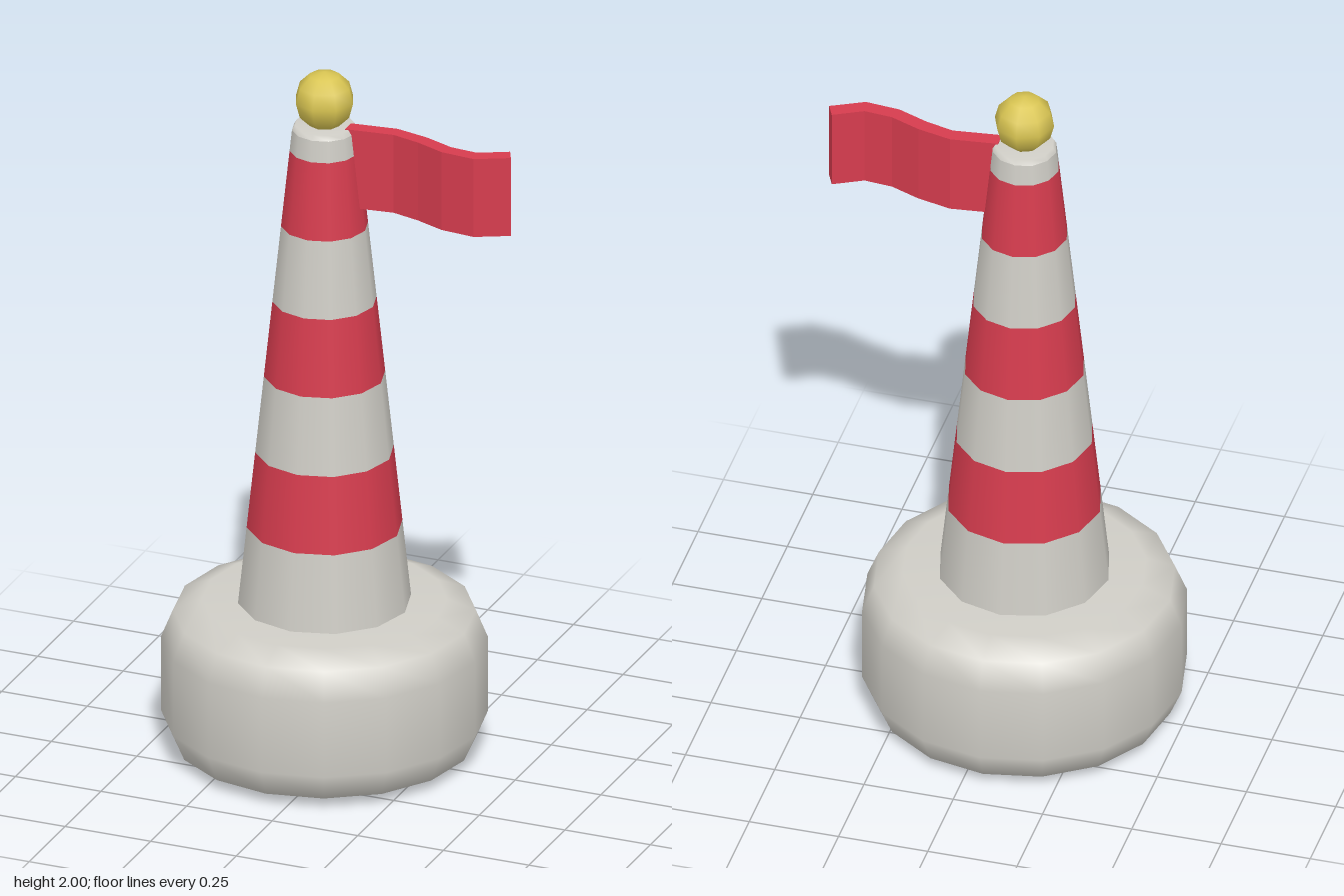
import * as THREE from 'three';

const AXIS_X = -0.057; // the bollard stands off-centre because the pennant sticks out

export function createModel() {
  const group = new THREE.Group();
  const white = new THREE.MeshStandardMaterial({ color: 0xcfcdc6 });
  white.name = 'offWhite';
  const red = new THREE.MeshStandardMaterial({ color: 0xd63c4e });
  red.name = 'red';
  const yellow = new THREE.MeshStandardMaterial({ color: 0xd9c552 });
  yellow.name = 'yellow';

  const add = (name, geometry, material, x = AXIS_X, y = 0) => {
    const mesh = new THREE.Mesh(geometry, material);
    mesh.name = name;
    mesh.position.set(x, y, 0);
    group.add(mesh);
  };
  const lathe = (points, sides) =>
    new THREE.LatheGeometry(points.map(([r, y]) => new THREE.Vector2(r, y)), sides);

  // Rounded, heavy foot
  add('base', lathe([
    [0, 0.004], [0.33, 0.004], [0.408, 0.036], [0.44, 0.112],
    [0.44, 0.332], [0.408, 0.41], [0.33, 0.443], [0, 0.443],
  ], 16), white);

  // Tapered cone in alternating bands
  const radiusAt = (y) => 0.235 - (y - 0.443) * 0.1055;
  const levels = [0.43, 0.665, 0.886, 1.108, 1.329, 1.55, 1.771, 1.832];
  for (let i = 0; i < levels.length - 1; i++) {
    const [low, high] = [levels[i], levels[i + 1]];
    add(`coneBand${i + 1}`, new THREE.CylinderGeometry(
      radiusAt(high), radiusAt(low), high - low, 12, 1, true,
    ), i % 2 ? red : white, AXIS_X, (low + high) / 2);
  }

  // Bevelled cone top
  add('coneTop', lathe([[radiusAt(1.832), 1.832], [0.08, 1.846], [0, 1.846]], 12), white);

  // Ball finial
  add('ball', new THREE.SphereGeometry(0.083, 8, 6), yellow, AXIS_X, 1.917);

  // Wavy pennant: outline seen from above, extruded upwards
  const back = [[0.01, -0.026], [0.14, -0.041], [0.235, -0.019], [0.318, 0.014], [0.397, 0.021], [0.477, -0.02]];
  const front = [[0.01, 0.016], [0.145, 0.0], [0.225, 0.021], [0.308, 0.054], [0.405, 0.063], [0.495, 0.018]];
  const outline = new THREE.Shape(
    [...back, ...front.reverse()].map(([x, z]) => new THREE.Vector2(x, -z)),
  );
  const pennant = new THREE.ExtrudeGeometry(outline, { depth: 0.23, bevelEnabled: false });
  pennant.rotateX(-Math.PI / 2);
  add('pennant', pennant, red, 0, 1.618);

  return group;
}
